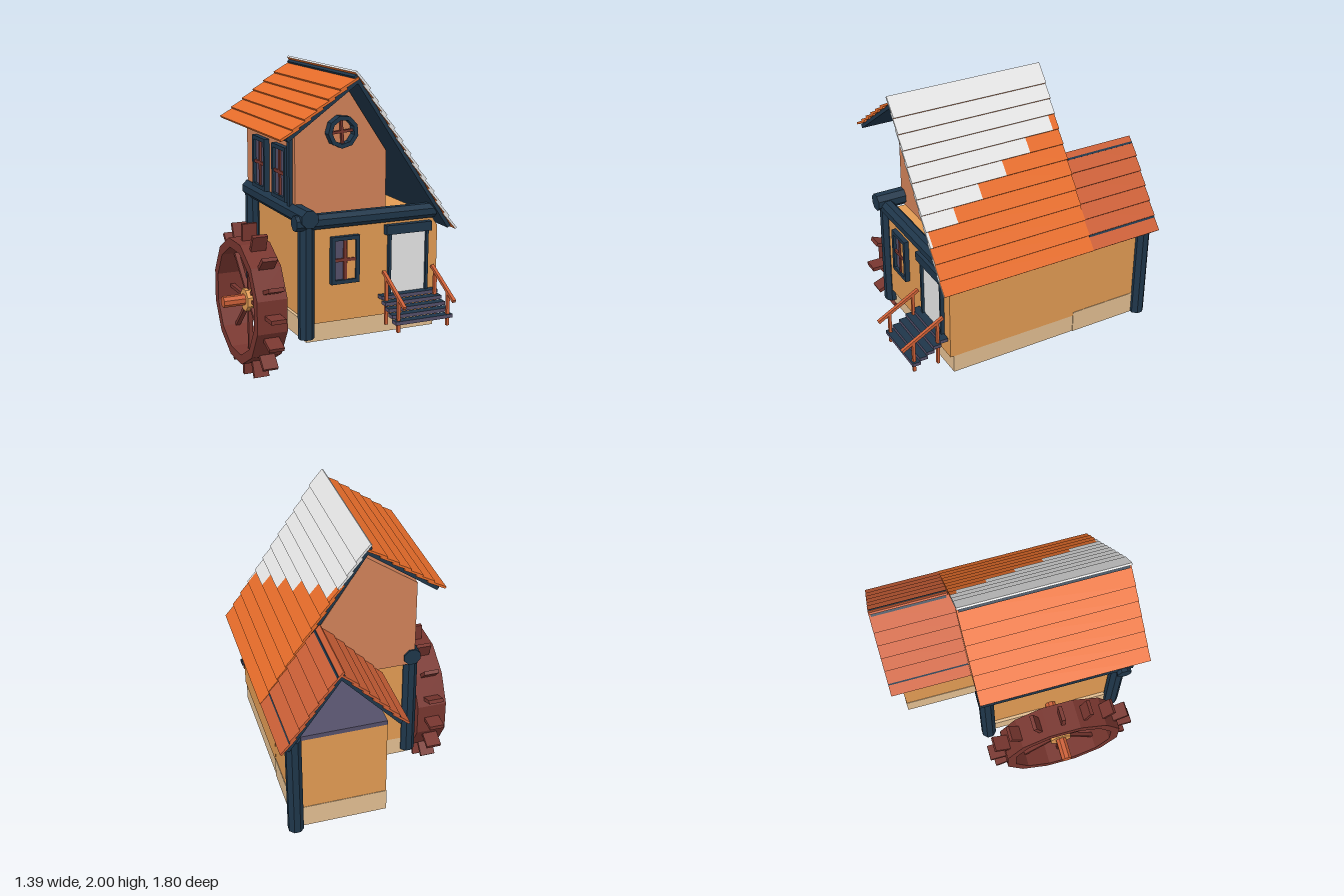
import * as THREE from 'three';

const mat = (name, color) => {
  const m = new THREE.MeshStandardMaterial({ color });
  m.name = name;
  return m;
};

export function createModel() {
  const root = new THREE.Group();
  root.name = 'watermillHouse';
  const plaster = mat('ochre plaster', 0xe39c54);
  const clay = mat('salmon plaster', 0xd28259);
  const stone = mat('sand stone', 0xe3bf92);
  const tile = mat('orange tile', 0xe96e2b);
  const redTile = mat('red tile', 0xcd6037);
  const timber = mat('navy timber', 0x1f364a);
  const wheelWood = mat('wheel wood', 0x78362f);
  const slate = mat('purple slate', 0x55506a);
  const white = mat('pale white', 0xe6e6e6);

  const add = (parent, name, geo, material) => {
    const m = new THREE.Mesh(geo, material);
    m.name = name;
    parent.add(m);
    return m;
  };
  // Box given by its extents
  const box = (name, material, x0, x1, y0, y1, z0, z1, parent = root) => {
    const m = add(parent, name, new THREE.BoxGeometry(x1 - x0, y1 - y0, z1 - z0), material);
    m.position.set((x0 + x1) / 2, (y0 + y1) / 2, (z0 + z1) / 2);
    return m;
  };
  // Faceted eight-sided log along y
  const log = (name, material, r, length, parent = root) => {
    const g = new THREE.CylinderGeometry(r, r, length, 8).rotateY(Math.PI / 8).toNonIndexed();
    g.computeVertexNormals();
    return add(parent, name, g, material);
  };
  const extrude = (shape, depth) =>
    new THREE.ExtrudeGeometry(shape, { depth, bevelEnabled: false });
  const polygon = pts => new THREE.Shape(pts.map(p => new THREE.Vector2(p[0], p[1])));
  const prism = (name, material, pts, z0, z1) => {
    add(root, name, extrude(polygon(pts), z1 - z0), material).position.z = z0;
  };
  const ngon = (r, n) => Array.from({ length: n }, (_, i) => {
    const a = (i + 0.5) / n * Math.PI * 2;
    return [r * Math.cos(a), r * Math.sin(a)];
  });
  const ring = (outer, inner, depth) => {
    const s = polygon(outer);
    s.holes.push(polygon(inner));
    return extrude(s, depth).translate(0, 0, -depth / 2);
  };
  const rect = (w, h) => [[-w / 2, -h / 2], [w / 2, -h / 2], [w / 2, h / 2], [-w / 2, h / 2]];

  // Foundations and walls
  box('mainFoundation', stone, -0.3, 0.592, 0.32, 0.445, -0.33, 0.565);
  box('annexFoundation', stone, 0, 0.597, 0.32, 0.47, -0.83, -0.32);
  prism('mainWall', plaster,
    [[-0.28, 0.445], [0.595, 0.445], [0.595, 0.99], [0.54, 1.07], [-0.28, 1.07]], -0.33, 0.59);
  box('annexWall', plaster, 0.003, 0.594, 0.47, 1.0, -0.827, -0.33);
  box('annexCeiling', slate, 0.003, 0.59, 1.0, 1.03, -0.83, -0.33);
  prism('upperWall', clay,
    [[-0.33, 1.07], [0.29, 1.07], [0.29, 1.47], [0, 1.9], [-0.33, 1.67]], -0.365, 0.46);

  // Posts and beams
  const post = (name, x, z, y0, y1) =>
    log(name, timber, 0.051, y1 - y0).position.set(x, (y0 + y1) / 2, z);
  post('frontLeftPost', -0.307, 0.575, 0.355, 1.1);
  post('backLeftPost', -0.312, -0.32, 0.355, 1.1);
  post('annexCornerPost', 0.595, -0.835, 0.32, 1.03);
  const frontBeam = log('frontBeam', timber, 0.05, 0.95);
  frontBeam.rotation.z = Math.PI / 2;
  frontBeam.position.set(0.085, 1.095, 0.59);
  const sideBeam = log('sideBeam', timber, 0.058, 1.03);
  sideBeam.rotation.x = Math.PI / 2;
  sideBeam.position.set(-0.312, 1.125, 0.14);
  box('upperSidePost', timber, -0.352, -0.328, 1.1, 1.68, 0.385, 0.425);

  // Roof slope: thin timber deck with overlapping tilted rows
  const slope = (name, a, b, z0, z1, rows, material, { splitAt, battens = [] } = {}) => {
    const dx = b[0] - a[0], dy = b[1] - a[1];
    const len = Math.hypot(dx, dy), step = len / rows, s = Math.sign(dx);
    const g = new THREE.Group();
    g.name = name;
    g.position.set(a[0], a[1], 0);
    g.rotation.z = Math.atan2(dy, dx);
    root.add(g);
    box('roofDeck', timber, -0.02, len - 0.035, -0.012, 0.012, z0 + 0.012, z1 - 0.012, g)
      .position.y = -0.01 * s;
    const row = (i, from, to, m) => {
      if (to - from < 0.001) return;
      const r = box('tileRow', m, i * step - 0.04, (i + 1) * step, -0.007, 0.007, from, to, g);
      r.position.y = 0.012 * s;
      r.rotation.z = 0.12 * s;
    };
    for (let i = 0; i < rows; i++) {
      if (!splitAt) { row(i, z0, z1, material); continue; }
      const y = a[1] + dy * (i + 0.5) / rows;
      const z = Math.min(z1, Math.max(z0, splitAt(y)));
      row(i, z0, z, [material, material, material, material, white, material]);
      row(i, z, z1, [material, white, white, material, white, white]);
    }
    // Exposed dark strips between rows
    for (const i of battens) {
      box('roofBatten', timber, i * step, i * step + 0.013, -0.007, 0.007, z0 + 0.002, z1 - 0.002, g)
        .position.y = 0.014 * s;
    }
  };
  slope('mainRoofRight', [-0.005, 1.961], [0.67, 0.967], -0.39, 0.67, 12, tile,
    { splitAt: y => 0.67 - (y - 1.25) / 0.44 * 1.06 });
  slope('mainRoofLeft', [-0.035, 1.93], [-0.495, 1.6], -0.39, 0.67, 6, tile);
  slope('annexRoofRight', [0.315, 1.46], [0.668, 0.967], -0.9, -0.39, 6, redTile, { battens: [0, 5] });
  slope('annexRoofLeft', [0.285, 1.44], [-0.095, 1.025], -0.9, -0.365, 6, redTile, { battens: [5] });

  // Windows
  const makeWindow = (name, w, h) => {
    const g = new THREE.Group();
    g.name = name;
    add(g, 'windowFrame', ring(rect(w, h), rect(w - 0.05, h - 0.05), 0.05), timber);
    box('windowPane', slate, -w / 2 + 0.02, w / 2 - 0.02, -h / 2 + 0.02, h / 2 - 0.02, 0, 0.006, g);
    box('uprightBar', wheelWood, -0.01, 0.01, -h / 2 + 0.02, h / 2 - 0.02, 0, 0.018, g);
    box('crossBar', wheelWood, -w / 2 + 0.02, w / 2 - 0.02, -0.01, 0.01, 0, 0.018, g);
    root.add(g);
    return g;
  };
  const front = makeWindow('frontWindow', 0.19, 0.3);
  front.position.set(-0.06, 0.84, 0.597);
  box('windowCurtain', plaster, 0.015, 0.07, -0.125, 0.125, 0.006, 0.012, front);
  for (const z of [-0.07, 0.27]) {
    const w = makeWindow('sideWindow', 0.22, 0.34);
    w.position.set(-0.34, 1.35, z);
    w.rotation.y = -Math.PI / 2;
  }
  const round = new THREE.Group();
  round.name = 'roundWindow';
  round.position.set(-0.03, 1.615, 0.485);
  round.rotation.z = 0.08;
  root.add(round);
  add(round, 'roundFrame', ring(ngon(0.102, 9), ngon(0.075, 9), 0.06), timber);
  box('uprightBar', wheelWood, -0.008, 0.008, -0.075, 0.075, -0.01, 0.01, round);
  box('crossBar', wheelWood, -0.075, 0.075, -0.008, 0.008, -0.01, 0.01, round);

  // Door
  box('doorPanel', white, 0.255, 0.505, 0.57, 0.97, 0.58, 0.598);
  for (const x of [0.24, 0.503]) box('doorJamb', timber, x, x + 0.018, 0.57, 0.98, 0.58, 0.615);
  box('doorLintel', timber, 0.215, 0.535, 0.97, 1.03, 0.58, 0.63);

  // Steps and handrails
  for (let i = 0; i < 5; i++) {
    const z = 0.595 + i * 0.048, y = 0.56 - i * 0.027;
    box('step', [slate, slate, timber, slate, slate, slate], 0.178, 0.577, y, y + 0.023, z, z + 0.054);
  }
  for (const x of [0.205, 0.55]) {
    box('railPostFront', redTile, x - 0.01, x + 0.01, 0.4, 0.625, 0.812, 0.83);
    box('railPostBack', redTile, x - 0.01, x + 0.01, 0.4, 0.71, 0.646, 0.664);
    const rail = box('handrail', redTile, x - 0.011, x + 0.011, 0.645, 0.665, 0.595, 0.92);
    rail.rotation.x = 0.504;
  }

  // Water wheel, built around z and turned onto the x axis
  const wheel = new THREE.Group();
  wheel.name = 'waterWheel';
  wheel.position.set(-0.51, 0.505, 0.135);
  wheel.rotation.y = Math.PI / 2;
  root.add(wheel);
  add(wheel, 'wheelRim', ring(ngon(0.408, 12), ngon(0.347, 12), 0.2), wheelWood);
  const radial = (name, count, r0, r1, thick, width) => {
    for (let i = 0; i < count; i++) {
      const g = new THREE.BoxGeometry(thick, r1 - r0, width).translate(0, (r0 + r1) / 2, 0);
      add(wheel, name, g, wheelWood).rotation.z = i / count * Math.PI * 2;
    }
  };
  radial('paddle', 16, 0.36, 0.503, 0.026, 0.1);
  radial('spoke', 8, 0.04, 0.35, 0.022, 0.03);
  log('wheelHub', plaster, 0.075, 0.08, wheel).rotation.x = Math.PI / 2;
  const axle = log('axle', redTile, 0.037, 0.43);
  axle.rotation.z = Math.PI / 2;
  axle.position.set(-0.48, 0.508, 0.135);

  return root;
}
